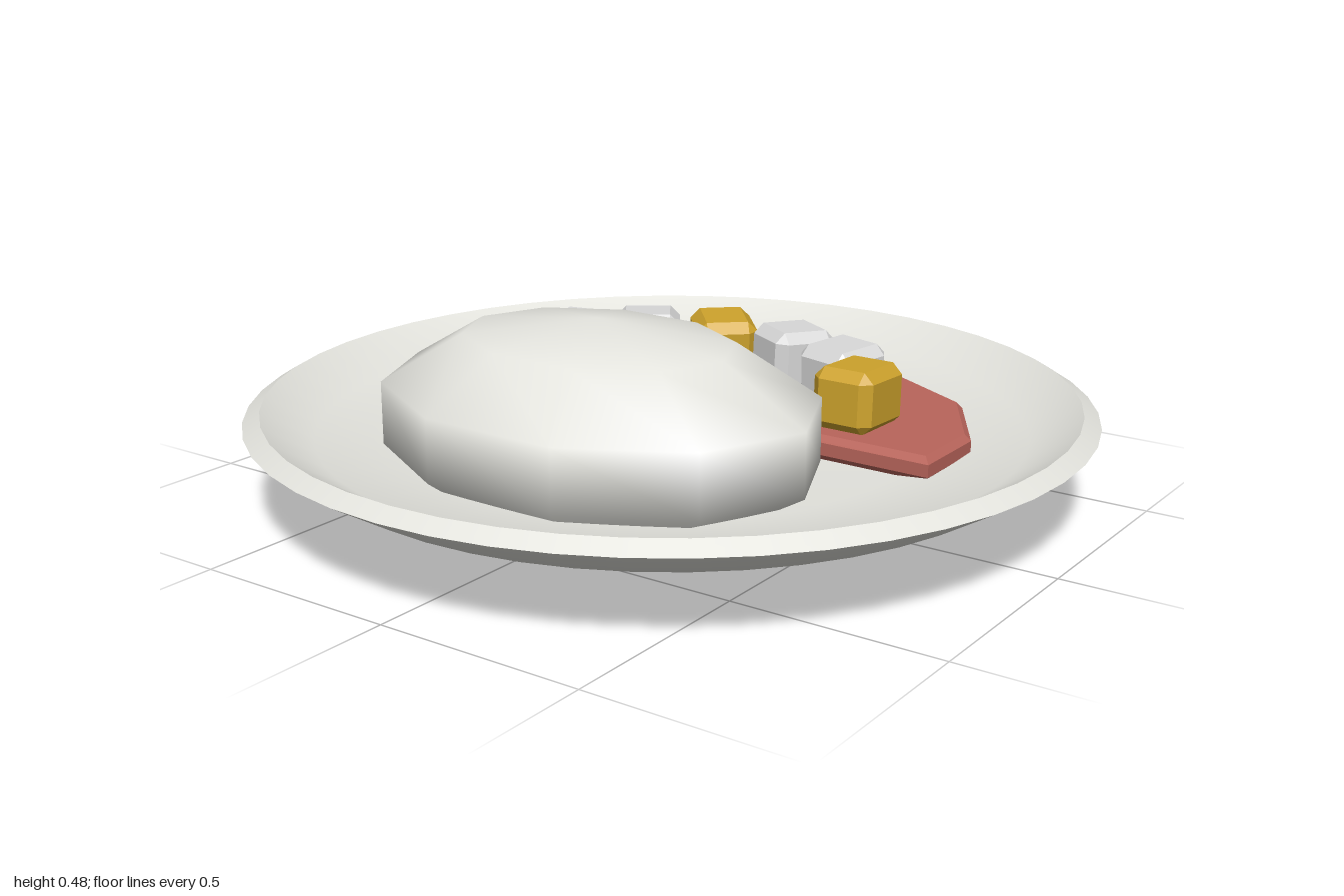
import * as THREE from 'three';
import { ConvexGeometry } from 'three/addons/geometries/ConvexGeometry.js';

const material = (name, color) => {
  const m = new THREE.MeshStandardMaterial({ color });
  m.name = name;
  return m;
};

// Box whose edges and corners are cut by a single flat chamfer
function chamferedBox(w, h, d, c) {
  const points = [];
  for (const x of [-1, 1]) for (const y of [-1, 1]) for (const z of [-1, 1]) {
    for (const full of [0, 1, 2]) {
      points.push(new THREE.Vector3(
        x * (w / 2 - (full === 0 ? 0 : c)),
        y * (h / 2 - (full === 1 ? 0 : c)),
        z * (d / 2 - (full === 2 ? 0 : c))
      ));
    }
  }
  return new ConvexGeometry(points);
}

export function createModel() {
  const model = new THREE.Group();
  const ceramic = material('ceramic', 0xe3e3dd);
  const riceWhite = material('riceWhite', 0xe6e6e0);
  const meatRed = material('meatRed', 0xb9655b);
  const cubeWhite = material('cubeWhite', 0xd8d8d8);
  const cubeYellow = material('cubeYellow', 0xcda22c);

  const add = (name, geometry, mat, parent = model) => {
    const mesh = new THREE.Mesh(geometry, mat);
    mesh.name = name;
    parent.add(mesh);
    return mesh;
  };

  // Plate: separate lathes keep the rim edges sharp
  const plate = new THREE.Group();
  plate.name = 'plate';
  model.add(plate);
  const lathe = (profile) =>
    new THREE.LatheGeometry(profile.map(([r, y]) => new THREE.Vector2(r, y)), 48);
  add('plateUnderside', lathe([[0, 0.04], [0.55, 0.04], [0.6, 0.095], [0.86, 0.13], [1, 0.215]]), ceramic, plate);
  add('plateRim', lathe([[1, 0.215], [0.96, 0.24]]), ceramic, plate);
  add('plateInside', lathe([[0.96, 0.24], [0.84, 0.168], [0.58, 0.13], [0, 0.125]]), ceramic, plate);

  // Rice mound: coarse smooth ellipsoid, its tip passing through the plate
  const mound = new THREE.SphereGeometry(1, 10, 5);
  mound.rotateY(Math.PI / 2);
  mound.scale(0.426, 0.24, 0.573);
  add('riceMound', mound, riceWhite).position.set(-0.285, 0.24, 0);

  // Meat slice: bevelled half disc
  const bevel = 0.015;
  const half = [[0.055, 0.65], [0.245, 0.65], [0.46, 0.52], [0.585, 0.29]];
  const outline = [...half.map(([x, z]) => [x, -z]), [0.625, 0], ...half.slice().reverse()];
  const slice = new THREE.ExtrudeGeometry(
    new THREE.Shape(outline.map(([x, z]) => new THREE.Vector2(x, z))),
    { depth: 0.03, bevelEnabled: true, bevelSize: bevel, bevelThickness: bevel, bevelSegments: 1 }
  );
  slice.rotateX(Math.PI / 2);
  add('meatSlice', slice, meatRed).position.y = 0.175;

  // Vegetable cubes in an arc on the slice: x, z, turn in degrees, colour
  const whiteCube = chamferedBox(0.165, 0.15, 0.165, 0.025);
  const yellowCube = chamferedBox(0.185, 0.15, 0.155, 0.025);
  const cubes = [
    [0.175, -0.41, 12, cubeWhite],
    [0.31, -0.295, 35, cubeWhite],
    [0.385, -0.11, 42, cubeYellow],
    [0.385, 0.1, -30, cubeWhite],
    [0.315, 0.285, -15, cubeWhite],
    [0.177, 0.405, 0, cubeYellow],
  ];
  cubes.forEach(([x, z, turn, mat], i) => {
    const cube = add(`vegetableCube${i + 1}`, mat === cubeYellow ? yellowCube : whiteCube, mat);
    cube.position.set(x, 0.257, z);
    cube.rotation.set(0, THREE.MathUtils.degToRad(turn), i % 2 ? -0.04 : 0.04);
  });

  return model;
}
